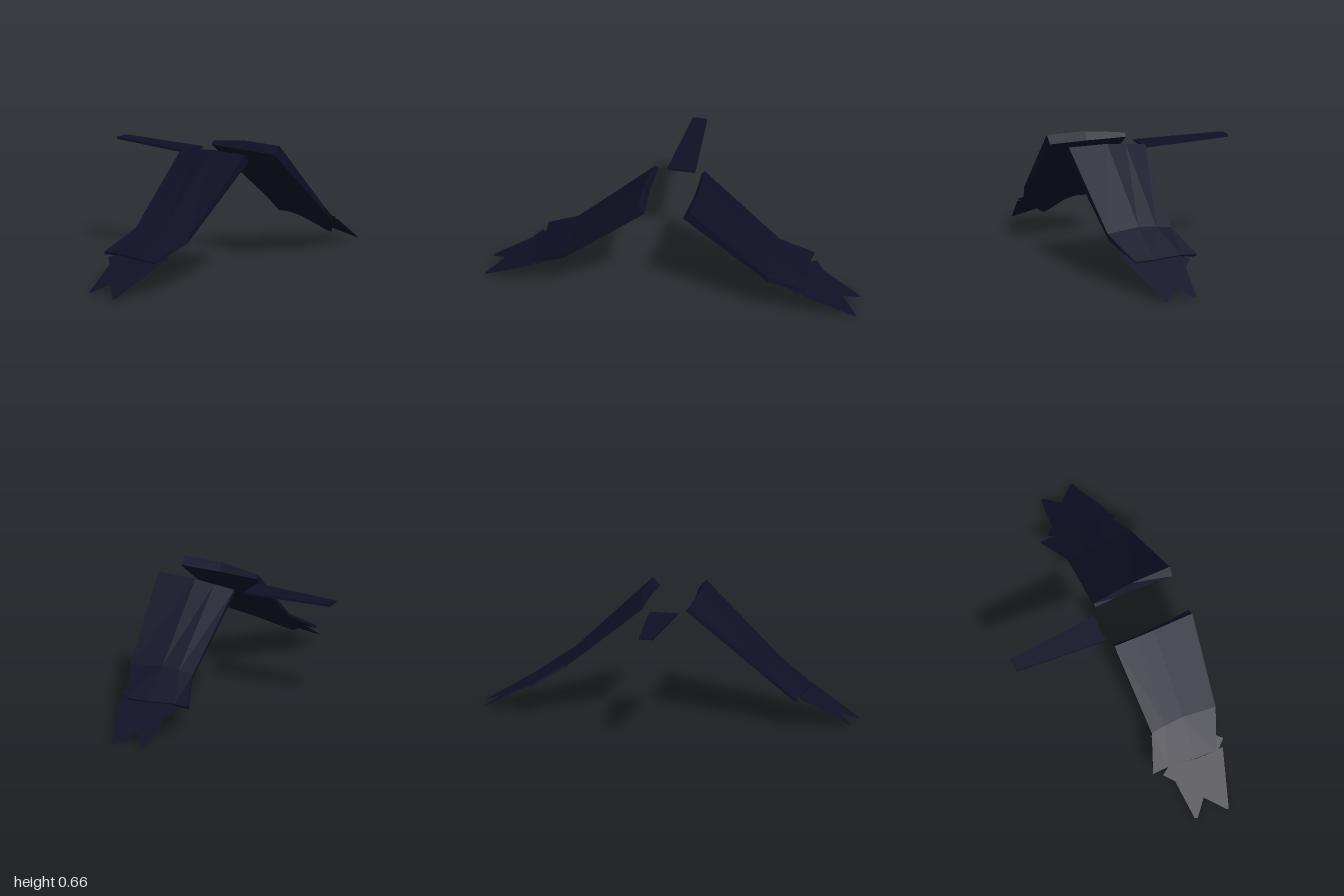
import * as THREE from 'three';

const navy = new THREE.MeshStandardMaterial({ color: 0x101026, flatShading: true });
navy.name = 'dark navy';
const navyThin = navy.clone();
navyThin.side = THREE.DoubleSide;
navyThin.name = 'dark navy thin';

// Lofts rings of 8 points: 4 along the top (trailing to leading), 4 back along the bottom
function loft(rings, side) {
  const pos = [];
  const tri = (a, b, c) => {
    for (const p of side > 0 ? [a, b, c] : [a, c, b]) pos.push(p[0], p[1], p[2] * side);
  };
  const quad = (a, b, c, d) => { tri(a, b, c); tri(a, c, d); };
  for (let s = 0; s < rings.length - 1; s++) {
    const r = rings[s], n = rings[s + 1];
    for (let i = 0; i < 8; i++) {
      const j = (i + 1) % 8;
      quad(r[i], n[i], n[j], r[j]);
    }
  }
  // End caps
  const first = rings[0], last = rings[rings.length - 1];
  for (let i = 0; i < 3; i++) {
    quad(first[i], first[i + 1], first[6 - i], first[7 - i]);
    quad(last[7 - i], last[6 - i], last[i + 1], last[i]);
  }
  const g = new THREE.BufferGeometry();
  g.setAttribute('position', new THREE.Float32BufferAttribute(pos, 3));
  g.computeVertexNormals();
  return g;
}

// Wing cross-sections, each [x, y, z]
const wingRings = [
  [ // root
    [0.035, 0.632, 0.132], [0.15, 0.647, 0.14], [0.26, 0.659, 0.145], [0.48, 0.662, 0.144],
    [0.478, 0.62, 0.104], [0.26, 0.615, 0.12], [0.15, 0.613, 0.12], [0.035, 0.613, 0.115],
  ],
  [ // bend
    [0.066, 0.278, 0.54], [0.15, 0.29, 0.535], [0.25, 0.297, 0.53], [0.433, 0.28, 0.545],
    [0.43, 0.243, 0.555], [0.25, 0.243, 0.545], [0.15, 0.25, 0.542], [0.066, 0.262, 0.538],
  ],
  [ // outer end
    [-0.005, 0.168, 0.715], [0.08, 0.17, 0.712], [0.24, 0.165, 0.727], [0.355, 0.163, 0.73],
    [0.355, 0.15, 0.725], [0.24, 0.148, 0.725], [0.08, 0.158, 0.705], [-0.005, 0.154, 0.712],
  ],
];

// Jagged feather outline, [x, z]
const featherOutline = [
  [0.1, 0.54], [0.056, 0.545], [0.075, 0.6], [0.1, 0.7], [0.042, 0.737], [0.09, 0.785],
  [0.115, 0.978], [0.13, 0.985], [0.2, 0.907], [0.29, 0.998], [0.303, 1], [0.393, 0.725],
  [0.37, 0.725], [0.413, 0.687], [0.38, 0.66], [0.38, 0.6], [0.3, 0.54],
];

function featherGeometry(side) {
  const shape = new THREE.Shape(featherOutline.map(([x, z]) => new THREE.Vector2(x, z * side)));
  const g = new THREE.ShapeGeometry(shape);
  g.rotateX(Math.PI / 2); // outline lies in x, z
  const p = g.attributes.position;
  // Slope the sheet down to the tip
  for (let i = 0; i < p.count; i++) p.setY(i, (1 - Math.abs(p.getZ(i))) * 0.57);
  g.computeVertexNormals();
  return g;
}

export function createModel() {
  const model = new THREE.Group();
  model.name = 'wingsAndTail';
  const add = (name, geometry, material, parent) => {
    const m = new THREE.Mesh(geometry, material);
    m.name = name;
    parent.add(m);
    return m;
  };

  // Mirrored wings
  for (const side of [1, -1]) {
    const wing = new THREE.Group();
    wing.name = side > 0 ? 'frontWing' : 'backWing';
    add('wingPanel', loft(wingRings, side), navy, wing);
    add('tipFeathers', featherGeometry(side), navyThin, wing);
    model.add(wing);
  }

  // Tapered tail plate
  const tail = new THREE.BoxGeometry(0.495, 0.012, 0.15);
  const p = tail.attributes.position;
  for (let i = 0; i < p.count; i++) if (p.getX(i) < 0) p.setZ(i, p.getZ(i) * 0.51);
  tail.computeVertexNormals();
  add('tailPlate', tail, navy, model).position.set(-0.2375, 0.601, 0);

  return model;
}
